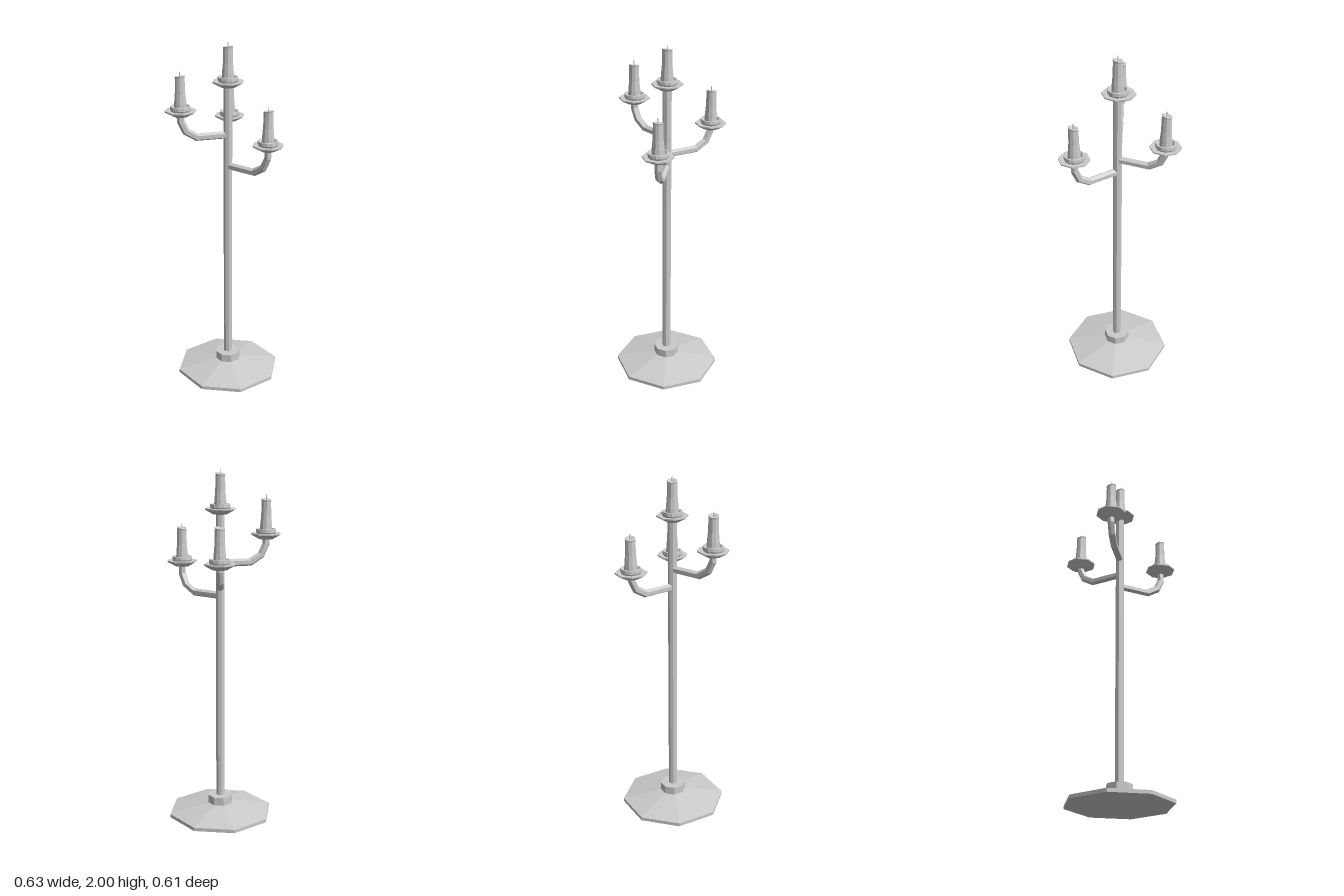
import * as THREE from 'three';

const material = new THREE.MeshStandardMaterial({ color: 0xcccccc, flatShading: true, side: THREE.DoubleSide });
const AXIS = { x: -0.025, z: -0.026 }; // centre line of the pole

function mesh(name, geometry) {
  const m = new THREE.Mesh(geometry, material);
  m.name = name;
  return m;
}

// Turned part with flat sides facing the axes; profile runs bottom to top
function turned(name, profile, sides = 8) {
  const points = profile.map(([r, y]) => new THREE.Vector2(r, y));
  return mesh(name, new THREE.LatheGeometry(points, sides, Math.PI / sides));
}

// Hexagonal bar swept along a path in the XY plane with mitred joints
function sweptBar(name, path, radius) {
  const sides = 6, position = [], index = [];
  const pts = path.map(([x, y]) => new THREE.Vector2(x, y));
  pts.forEach((p, i) => {
    const before = p.clone().sub(pts[Math.max(i - 1, 0)]).normalize();
    const after = pts[Math.min(i + 1, pts.length - 1)].clone().sub(p).normalize();
    const t = before.clone().add(after).normalize();
    const miter = radius / t.dot(i ? before : after);
    for (let j = 0; j < sides; j++) {
      const a = (j / sides) * Math.PI * 2;
      const up = Math.cos(a) * miter;
      position.push(p.x - t.y * up, p.y + t.x * up, Math.sin(a) * radius);
      if (i < pts.length - 1) {
        const k = i * sides + j, l = i * sides + ((j + 1) % sides);
        index.push(k, l, k + sides, l, l + sides, k + sides);
      }
    }
  });
  const geometry = new THREE.BufferGeometry();
  geometry.setAttribute('position', new THREE.Float32BufferAttribute(position, 3));
  geometry.setIndex(index);
  geometry.computeVertexNormals();
  return mesh(name, geometry);
}

// Drip dish, cup, candle and wick; the origin is at the dish rim
function candleHolder(name) {
  const holder = new THREE.Group();
  holder.name = name;

  holder.add(turned('dripDish', [
    [0, -0.03], [0.04, -0.03], [0.0866, -0.004], [0.0866, 0.003], [0.066, 0.003], [0.055, 0],
  ]));
  holder.add(turned('cup', [
    [0.052, -0.002], [0.057, 0.008], [0.056, 0.026], [0.048, 0.027], [0.037, 0.012], [0, 0.01],
  ], 12));

  // Wax body with a sloping, slightly hollow top
  const candle = turned('candle', [
    [0.036, 0.008], [0.034, 0.045], [0.029, 0.1], [0.027, 0.18], [0.029, 0.189], [0.02, 0.191], [0, 0.18],
  ], 10);
  const p = candle.geometry.attributes.position;
  for (let i = 0; i < p.count; i++) {
    if (p.getY(i) > 0.17) p.setY(i, p.getY(i) + p.getX(i) * 0.2);
  }
  candle.geometry.computeVertexNormals();
  holder.add(candle);

  const wick = mesh('wick', new THREE.CylinderGeometry(0.002, 0.004, 0.04, 4));
  wick.position.y = 0.194;
  holder.add(wick);
  return holder;
}

export function createModel() {
  const model = new THREE.Group();
  model.name = 'candelabra';
  const stand = new THREE.Group();
  stand.name = 'stand';
  stand.position.set(AXIS.x, 0, AXIS.z);
  model.add(stand);

  // Foot, collar and pole
  stand.add(turned('base', [[0, 0], [0.303, 0], [0.303, 0.02], [0.07, 0.068], [0, 0.068]]));
  stand.add(turned('collar', [[0.073, 0.06], [0.073, 0.115], [0, 0.115]]));
  stand.add(turned('pole', [[0.025, 0.1], [0.025, 1.78]]));

  const topHolder = candleHolder('topCandleHolder');
  topHolder.position.y = 1.786;
  stand.add(topHolder);

  // Curved arms: candle position, arm height and dish height
  const arms = [
    { name: 'left', x: 0.237, z: -0.099, low: 1.305, dish: 1.477 },
    { name: 'right', x: -0.237, z: -0.195, low: 1.383, dish: 1.521 },
    { name: 'front', x: -0.122, z: 0.222, low: 1.486, dish: 1.642 },
  ];
  for (const { name, x, z, low, dish } of arms) {
    const dx = x - AXIS.x, dz = z - AXIS.z;
    const reach = Math.hypot(dx, dz), rise = dish - low;
    const arm = sweptBar(name + 'Arm', [
      [0, 0], [reach - 0.09, 0], [reach - 0.028, 0.038], [reach, 0.098], [reach, rise - 0.015],
    ], 0.021);
    arm.position.y = low;
    arm.rotation.y = -Math.atan2(dz, dx);
    stand.add(arm);

    const holder = candleHolder(name + 'CandleHolder');
    holder.position.set(dx, dish, dz);
    stand.add(holder);
  }
  return model;
}
